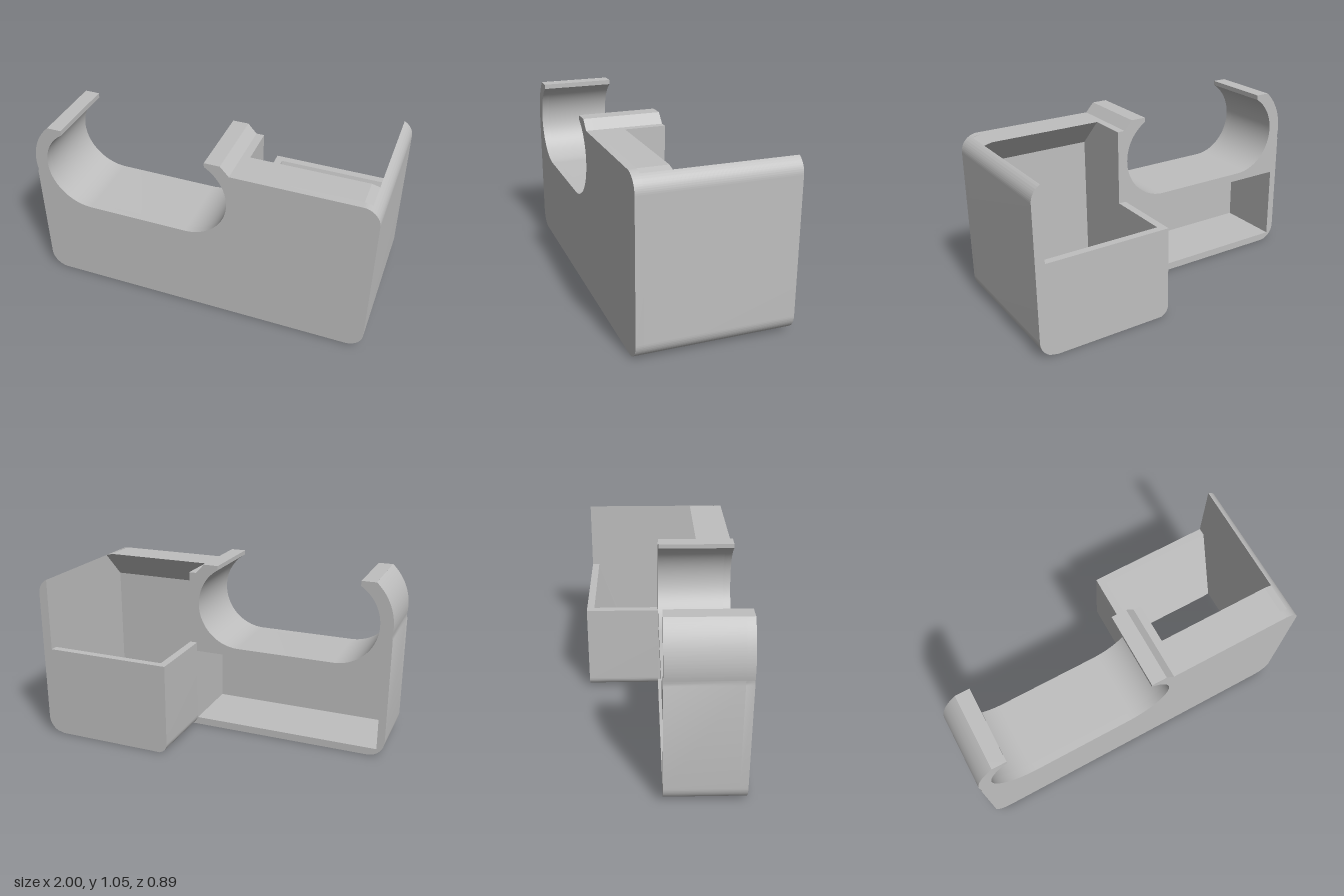
import * as THREE from 'three';
import { toCreasedNormals } from 'three/addons/utils/BufferGeometryUtils.js';

export function createModel() {
  const model = new THREE.Group();
  const plastic = new THREE.MeshStandardMaterial({ color: 0xbfbfbf });
  plastic.name = 'grey plastic';

  const xIn = 0.945, xWall = 0.235, xSide = 0.19;   // bin cavity and its outer side
  const zBack = -0.445, zFront = 0.445, zPlate = 0.4;
  const cut = 0.1 - Math.sqrt(0.01 - 0.045 ** 2);   // corner height where the cavity cuts it
  const PI = Math.PI;

  function add(name, geometry) {
    const mesh = new THREE.Mesh(toCreasedNormals(geometry, 0.5), plastic);
    mesh.name = name;
    model.add(mesh);
  }

  // Shape in x/y, extruded from z0 to z1
  function slab(name, shape, z0, z1) {
    const g = new THREE.ExtrudeGeometry(shape, { depth: z1 - z0, bevelEnabled: false, curveSegments: 24 });
    add(name, g.translate(0, 0, z0));
  }

  // Section given as [z, y] points, extruded across the bin cavity
  function crossbar(name, points) {
    const shape = new THREE.Shape(points.map(([z, y]) => new THREE.Vector2(-z, y)));
    [[xWall, 0.9], [0.9, xIn]].forEach(([x0, x1]) => {
      const g = new THREE.ExtrudeGeometry(shape, { depth: x1 - x0, bevelEnabled: false });
      g.rotateY(PI / 2).translate(x0, 0, 0);
      const p = g.attributes.position;
      // follow the rounded outer corner at the far end
      for (let i = 0; i < p.count; i++) {
        if (p.getX(i) > 0.92) p.setY(i, THREE.MathUtils.clamp(p.getY(i), cut, 0.99 - cut));
      }
      add(name, g);
    });
  }

  // Body outline with the open oval cradle; full width or only up to the bin
  function outline(full) {
    const s = new THREE.Shape();
    const a = Math.atan2(0.2195, 0.13), b = Math.acos(-0.135 / 0.255);
    s.moveTo(-0.9, 0);
    if (full) {
      s.lineTo(0.9, 0);
      s.absarc(0.9, 0.1, 0.1, -PI / 2, 0, false);
      s.absarc(0.9, 0.89, 0.1, 0, PI / 2, false);
    } else {
      s.lineTo(xWall, 0);
      s.lineTo(xWall, 0.99);
    }
    s.lineTo(xSide, 0.99);
    s.lineTo(0.14, 1.045);
    s.lineTo(0.05, 1.045);
    s.absarc(-0.08, 0.8, 0.255, a, -PI / 2, true);
    s.absarc(-0.67, 0.8, 0.255, -PI / 2, b - 2 * PI, true);
    s.lineTo(-0.805, 1.045);
    s.lineTo(-0.89, 1.045);
    s.absarc(-0.67, 0.8, 0.33, Math.atan2(0.245, -0.22), PI + 0.18, false);
    s.lineTo(-1, 0.725);
    s.lineTo(-1, 0.1);
    s.absarc(-0.9, 0.1, 0.1, PI, 1.5 * PI, false);
    return s;
  }

  // Front plate
  slab('frontPlate', outline(true), zPlate, zFront);

  // Cradle frame with a pocket open to the back
  const frame = outline(false);
  frame.holes.push(new THREE.Path([[-0.955, 0.045], [-0.955, 0.495], [xSide, 0.495], [xSide, 0.045]]
    .map(([x, y]) => new THREE.Vector2(x, y))));
  slab('cradleFrame', frame, 0, zPlate);

  // Tall outer wall of the bin, with rounded outer edges
  const t = Math.acos(0.45);
  const wall = new THREE.Shape();
  wall.moveTo(xIn, cut);
  wall.absarc(0.9, 0.1, 0.1, -t, 0, false);
  wall.absarc(0.9, 0.89, 0.1, 0, t, false);
  slab('binOuterWall', wall, zBack, zPlate);

  // Low inner wall of the bin
  const low = new THREE.Shape();
  low.moveTo(xWall, 0.55);
  low.lineTo(xSide, 0.55);
  low.lineTo(xSide, 0.06);
  low.absarc(0.25, 0.06, 0.06, PI, PI + Math.acos(0.25), false);
  slab('binInnerWall', low, zBack, 0);

  // Back wall with its inside ramp, and the overhanging front lip
  crossbar('binBackRamp', [[zBack, 0], [zBack, 0.55], [-0.4, 0.55], [-0.21, 0]]);
  crossbar('binFrontLip', [[zPlate, 0.82], [zPlate, 0.99], [0.235, 0.99]]);

  return model;
}
